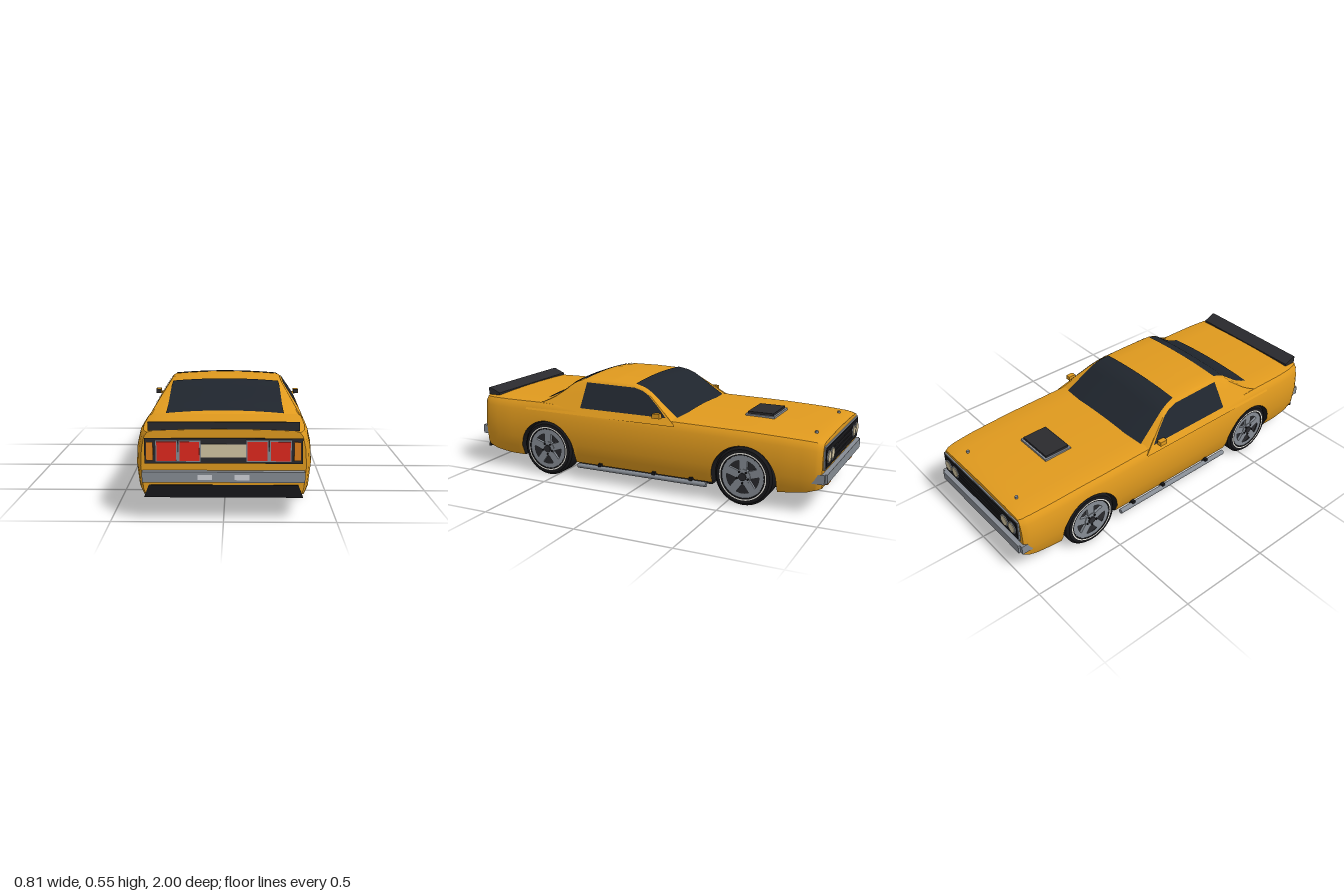
import * as THREE from 'three';
import { toCreasedNormals } from 'three/addons/utils/BufferGeometryUtils.js';

const YELLOW = 0xe09a1e, BLACK = 0x17171a, DARK = 0x2a2a2e, GLASS = 0x1f252d, GREY = 0x868c94,
  RED = 0xe0281e, AMBER = 0xe0801a, CREAM = 0xd2c5a3, PLATE = 0xd0d2d8;
const WHEEL_Z = [-0.59, 0.545], ARCH_R = 0.168;

const material = (color) => new THREE.MeshStandardMaterial({ color, side: THREE.DoubleSide });

// Piecewise linear lookup in a list of [key, value]
function lookup(table, t) {
  if (t <= table[0][0]) return table[0][1];
  for (let i = 1; i < table.length; i++) {
    const [a, va] = table[i - 1], [b, vb] = table[i];
    if (t <= b) return va + (vb - va) * (t - a) / (b - a);
  }
  return table[table.length - 1][1];
}

// Body rules: deck height, bottom edge, plan width, side bulge, roof line
const deckY = (z) => lookup([[-0.975, 0.355], [-0.93, 0.365], [-0.8, 0.373], [-0.6, 0.381], [-0.2, 0.387], [0.3, 0.397], [0.6, 0.408], [0.97, 0.405]], z);
const bottomY = (z) => lookup([[-0.975, 0.135], [-0.9, 0.108], [-0.77, 0.09], [0.8, 0.088], [0.9, 0.1], [0.97, 0.122]], z);
const planScale = (z) => lookup([[-0.975, 0.905], [-0.955, 0.935], [-0.92, 0.955], [-0.8, 0.978], [-0.5, 0.995], [0, 1], [0.8, 1], [0.9, 0.98], [0.945, 0.95], [0.97, 0.915]], z);
const sideX = (y) => lookup([[0.07, 0.352], [0.09, 0.362], [0.145, 0.386], [0.25, 0.398], [0.33, 0.393], [0.385, 0.38], [0.403, 0.366], [0.41, 0.34]], y);
const roofY = (z) => lookup([[-0.22, 0.388], [-0.11, 0.466], [-0.04, 0.516], [0, 0.533], [0.055, 0.544], [0.2, 0.548], [0.34, 0.546], [0.38, 0.541], [0.42, 0.526], [0.47, 0.49], [0.52, 0.455], [0.57, 0.431], [0.62, 0.417], [0.68, 0.4]], z);
const cabinX = (y) => 0.355 - 0.62 * (y - 0.415);
const roofAt = (x, z) => roofY(z) - 0.014 * (x / 0.29) ** 2;

function lowerEdge(z) {
  let y = bottomY(z);
  for (const c of WHEEL_Z) {
    const d = Math.abs(z - c);
    if (d < ARCH_R) y = 0.138 + Math.sqrt(ARCH_R ** 2 - d ** 2);
  }
  return y;
}

// Surface through rings of [x, y, z] points
function loft(rings, crease = 0.6) {
  const n = rings[0].length, index = [];
  for (let i = 0; i < rings.length - 1; i++) for (let j = 0; j < n - 1; j++) {
    const a = i * n + j, b = a + n;
    index.push(a, a + 1, b, a + 1, b + 1, b);
  }
  const g = new THREE.BufferGeometry();
  g.setAttribute('position', new THREE.Float32BufferAttribute(rings.flat(2), 3));
  g.setIndex(index);
  return toCreasedNormals(g, crease);
}

const mirrored = (half) => [...half, ...half.slice(0, -1).reverse().map(([x, y, z]) => [-x, y, z])];

function bodyRing(z) {
  const k = deckY(z) / 0.41, low = lowerEdge(z), s = planScale(z);
  const half = [low, 0.145 * k, 0.2 * k, 0.25 * k, 0.29 * k, 0.33 * k, 0.36 * k, 0.385 * k, 0.403 * k, 0.41 * k]
    .map((y) => Math.max(y, low)).map((y) => [sideX(y / k) * s, y, z]);
  for (const f of [0.75, 0.5, 0.25, 0]) half.push([0.34 * s * f, deckY(z) + 0.007 * (1 - f * f), z]);
  return mirrored(half);
}

function cabinRing(z) {
  const edge = roofY(z) - 0.022, half = [];
  for (const t of [0, 0.33, 0.66, 1]) {
    const y = 0.36 + (edge - 0.36) * t;
    half.push([cabinX(y), y, z]);
  }
  for (const f of [0.985, 0.94, 0.7, 0.35, 0]) {
    const x = cabinX(edge) * f;
    half.push([x, roofAt(x, z) - (f > 0.96 ? 0.004 : 0), z]);
  }
  return mirrored(half);
}

const steps = (a, b, n) => Array.from({ length: n + 1 }, (_, i) => a + (b - a) * i / n);

export function createModel() {
  const model = new THREE.Group();
  const add = (name, geometry, color, parent = model) => {
    const mesh = new THREE.Mesh(geometry, material(color));
    mesh.name = name;
    parent.add(mesh);
    return mesh;
  };
  const box = (name, [x0, x1], [y0, y1], [z0, z1], color) => {
    const m = add(name, new THREE.BoxGeometry(Math.abs(x1 - x0), y1 - y0, z1 - z0), color);
    m.position.set((x0 + x1) / 2, (y0 + y1) / 2, (z0 + z1) / 2);
    return m;
  };
  const rod = (name, r, length, axis, [x, y, z], color, parent = model) => {
    const g = new THREE.CylinderGeometry(r, r, length, 24);
    if (axis === 'x') g.rotateZ(Math.PI / 2);
    if (axis === 'z') g.rotateX(Math.PI / 2);
    g.translate(x, y, z);
    return add(name, g, color, parent);
  };

  // Body shell, open over the wheels, with its end panels and dark underside
  const zs = [...steps(-0.975, 0.97, 60), -0.955, 0.945];
  for (const c of WHEEL_Z) for (const a of steps(0, Math.PI, 20)) zs.push(c + Math.cos(a) * (ARCH_R - 0.0002));
  for (const c of WHEEL_Z) zs.push(c - ARCH_R - 0.0005, c + ARCH_R + 0.0005);
  zs.sort((a, b) => a - b);
  const rings = zs.map(bodyRing);
  add('bodyShell', loft(rings), YELLOW);
  add('underside', loft(rings.map((r) => [r[r.length - 1], r[0]])), BLACK);
  for (const [name, ring] of [['nosePanel', rings[0]], ['tailPanel', rings[rings.length - 1]]]) {
    const g = new THREE.ShapeGeometry(new THREE.Shape(ring.map(([x, y]) => new THREE.Vector2(x, y))));
    add(name, g.translate(0, 0, ring[0][2]), YELLOW);
  }
  box('chassis', [-0.25, 0.25], [0.075, 0.3], [-0.77, 0.74], BLACK);
  box('floor', [-0.345, 0.345], [0.073, 0.11], [-0.415, 0.37], BLACK);

  // Cabin with glass that follows its surface
  add('cabin', loft(steps(-0.22, 0.68, 60).map(cabinRing), 0.5), YELLOW);
  const roofGlass = (name, z0, z1, w0, w1) => add(name, loft(steps(z0, z1, 16).map((z, i) =>
    steps(1, -1, 10).map((f) => {
      const x = f * (w0 + (w1 - w0) * i / 16);
      return [x, roofAt(x, z) + 0.004, z];
    }))), GLASS);
  roofGlass('windshield', -0.212, 0.055, 0.315, 0.268);
  roofGlass('rearWindow', 0.36, 0.6, 0.265, 0.285);
  for (const s of [-1, 1]) {
    const outline = [[0.34, 0.396], [0.34, 0.522], [0.05, 0.519], [0, 0.508], [-0.04, 0.49], [-0.11, 0.44], [-0.165, 0.396]];
    const g = new THREE.ShapeGeometry(new THREE.Shape(outline.map((p) => new THREE.Vector2(...p))));
    const p = g.attributes.position;
    for (let i = 0; i < p.count; i++) p.setXYZ(i, s * (cabinX(p.getY(i)) + 0.004), p.getY(i), p.getX(i));
    g.computeVertexNormals();
    add('sideWindow', g, GLASS);
  }

  // Tail: lamp panel, lamps, bumper, valance and spoiler
  box('lampPanel', [-0.347, 0.347], [0.26, 0.373], [0.96, 0.976], DARK);
  box('tailCentrePanel', [-0.098, 0.098], [0.288, 0.347], [0.97, 0.98], CREAM);
  box('rearBumper', [-0.357, 0.357], [0.18, 0.228], [0.96, 1], GREY);
  for (const s of [-1, 1]) {
    for (const x of [0.1485, 0.2495]) {
      box('tailLampFrame', [s * (x - 0.05), s * (x + 0.05)], [0.267, 0.366], [0.97, 0.982], GREY);
      box('tailLamp', [s * (x - 0.043), s * (x + 0.043)], [0.274, 0.359], [0.975, 0.986], RED);
    }
    box('rearIndicator', [s * 0.309, s * 0.34], [0.275, 0.357], [0.97, 0.982], AMBER);
    box('bumperLamp', [s * 0.049, s * 0.113], [0.192, 0.215], [0.99, 1.002], PLATE);
  }
  const valance = new THREE.Shape([[-0.352, 0.105], [0.352, 0.105], [0.33, 0.162], [-0.33, 0.162]].map((p) => new THREE.Vector2(...p)));
  add('rearValance', new THREE.ExtrudeGeometry(valance, { depth: 0.014, bevelEnabled: false }).translate(0, 0, 0.96), BLACK);
  const wedge = new THREE.Shape([[-0.895, 0.405], [-0.967, 0.405], [-0.967, 0.444], [-0.957, 0.444], [-0.895, 0.418]].map((p) => new THREE.Vector2(...p)));
  add('spoiler', new THREE.ExtrudeGeometry(wedge, { depth: 0.664, bevelEnabled: false }).translate(0, 0, -0.332).rotateY(Math.PI / 2), DARK);

  // Nose: grille, headlamps, bumper and low indicators
  box('grilleFrame', [-0.34, 0.34], [0.222, 0.338], [-0.982, -0.965], GREY);
  box('grille', [-0.332, 0.332], [0.23, 0.33], [-0.986, -0.97], BLACK);
  for (const y of [0.255, 0.28, 0.305]) box('grilleBar', [-0.2, 0.2], [y - 0.003, y + 0.003], [-0.989, -0.98], DARK);
  box('frontBumper', [-0.352, 0.352], [0.16, 0.208], [-1, -0.965], GREY);
  for (const s of [-1, 1]) {
    for (const x of [0.228, 0.293]) {
      rod('headlampRing', 0.033, 0.012, 'z', [s * x, 0.28, -0.984], GREY);
      rod('headlamp', 0.027, 0.012, 'z', [s * x, 0.28, -0.987], CREAM);
    }
    const end = new THREE.Shape([[0.92, 0.16], [0.99, 0.16], [0.99, 0.208], [0.955, 0.208]].map((p) => new THREE.Vector2(...p)));
    add('bumperEnd', new THREE.ExtrudeGeometry(end, { depth: 0.03, bevelEnabled: false })
      .rotateY(Math.PI / 2).translate(s * 0.355 - 0.015, 0, 0), GREY);
    box('frontIndicator', [s * 0.19, s * 0.26], [0.126, 0.16], [-0.98, -0.955], AMBER);
    rod('hoodPin', 0.008, 0.02, 'y', [s * 0.222, 0.371, -0.905], GREY);

    // Door mirror
    box('mirror', [s * 0.375, s * 0.403], [0.395, 0.419], [-0.145, -0.105], YELLOW);
    box('mirrorGlass', [s * 0.376, s * 0.402], [0.396, 0.418], [-0.106, -0.102], DARK);
    box('mirrorArm', [s * 0.35, s * 0.385], [0.393, 0.404], [-0.132, -0.115], YELLOW);

    // Side pipe on its brackets
    rod('sidePipe', 0.013, 0.75, 'z', [s * 0.378, 0.078, -0.02], GREY);
    for (const z of [-0.31, -0.1, 0.22]) box('pipeBracket', [s * 0.34, s * 0.386], [0.078, 0.104], [z - 0.009, z + 0.009], BLACK);
  }

  // Hood scoop
  box('scoopFrame', [-0.11, 0.11], [0.375, 0.397], [-0.655, -0.497], GREY);
  box('scoop', [-0.1, 0.1], [0.38, 0.409], [-0.645, -0.507], DARK);

  // Wheels, built along +x and turned round for the other side
  for (const z of WHEEL_Z) for (const s of [-1, 1]) {
    const wheel = new THREE.Group();
    wheel.name = 'wheel';
    const profile = [[0.1, -0.058], [0.138, -0.058], [0.15, -0.046], [0.15, 0.046], [0.138, 0.058], [0.11, 0.06], [0.106, 0.045]];
    const tyre = new THREE.LatheGeometry(profile.map((p) => new THREE.Vector2(...p)), 40).rotateZ(-Math.PI / 2);
    add('tyre', toCreasedNormals(tyre, 0.5), BLACK, wheel);
    const flatRing = (name, r0, r1, x, color) =>
      add(name, new THREE.RingGeometry(r0, r1, 40).rotateY(Math.PI / 2).translate(x, 0, 0), color, wheel);
    flatRing('whiteStripe', 0.116, 0.122, 0.0605, 0xe8e6de);
    rod('wheelDisc', 0.107, 0.08, 'x', [0, 0, 0], DARK, wheel);
    flatRing('rim', 0.084, 0.109, 0.058, GREY);
    for (let i = 0; i < 5; i++) {
      const spoke = new THREE.BoxGeometry(0.014, 0.072, 0.04).translate(0.05, 0.055, 0).rotateX(i * Math.PI * 0.4);
      add('spoke', spoke, GREY, wheel);
      const a = (i + 0.5) * Math.PI * 0.4;
      rod('wheelNut', 0.005, 0.012, 'x', [0.06, Math.cos(a) * 0.03, Math.sin(a) * 0.03], BLACK, wheel);
    }
    rod('hub', 0.04, 0.02, 'x', [0.05, 0, 0], GREY, wheel);
    rod('hubCap', 0.02, 0.016, 'x', [0.058, 0, 0], DARK, wheel);
    wheel.position.set(s * 0.328, 0.15, z);
    if (s < 0) wheel.rotation.y = Math.PI;
    model.add(wheel);
  }
  return model;
}
